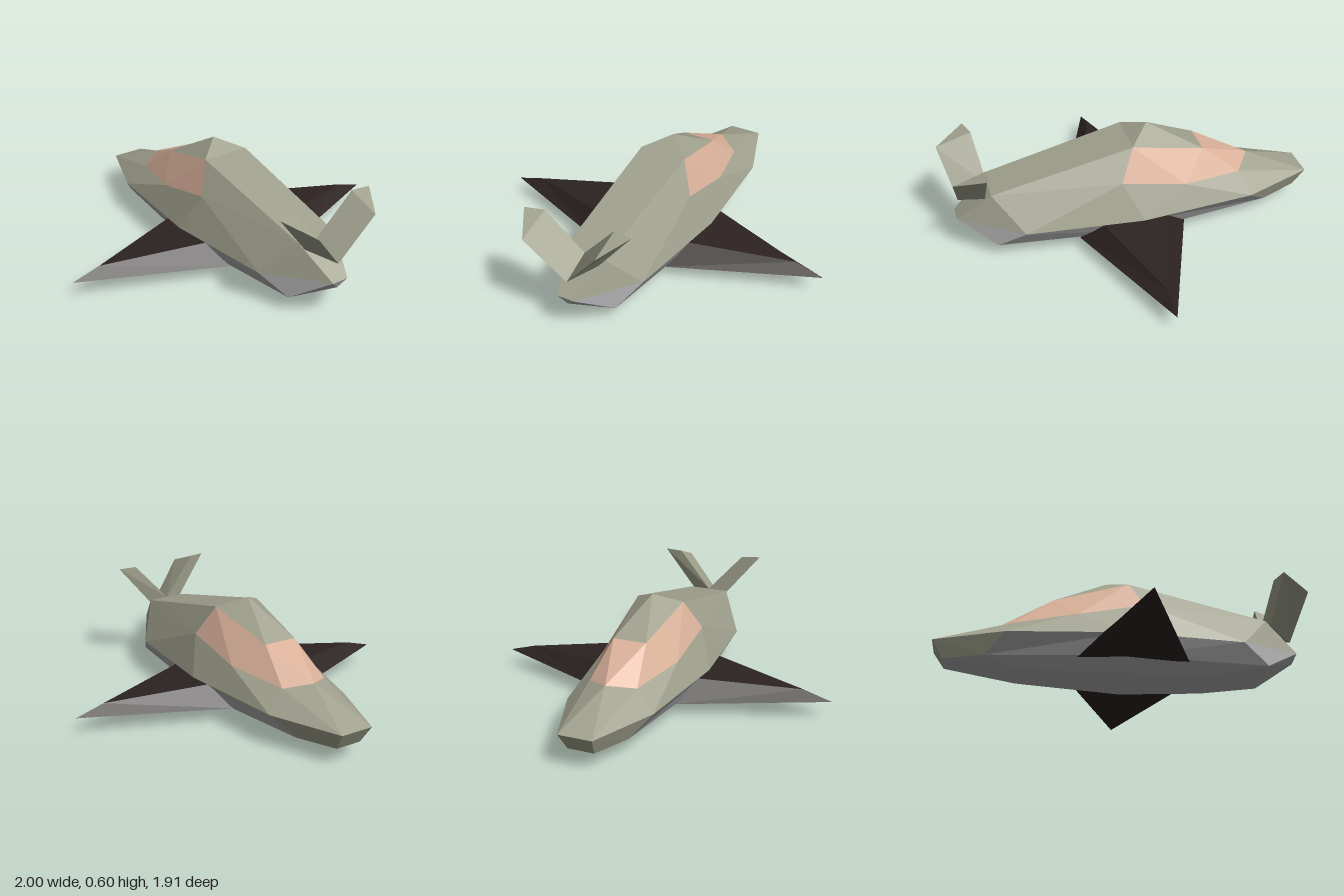
import * as THREE from 'three';

const paint = (name, color) => {
  const m = new THREE.MeshStandardMaterial({ color });
  m.name = name;
  return m;
};

// Flat-faced mesh from named corners; every face is turned away from a reference point.
// With mirror set, each face is repeated across the z = 0 plane.
function facets(name, corners, faces, material, inside, mirror) {
  const pos = [];
  const addFace = (pts) => {
    const mid = pts.reduce((s, p) => s.add(p), new THREE.Vector3()).divideScalar(pts.length);
    const out = mid.clone().sub(inside(mid));
    for (let i = 1; i < pts.length - 1; i++) {
      let [a, b, c] = [pts[0], pts[i], pts[i + 1]];
      const n = b.clone().sub(a).cross(c.clone().sub(a));
      if (n.dot(out) < 0) [b, c] = [c, b];
      pos.push(...a.toArray(), ...b.toArray(), ...c.toArray());
    }
  };
  for (const face of faces) {
    const pts = face.split(' ').map((k) => new THREE.Vector3(...corners[k]));
    addFace(pts);
    if (mirror) addFace(pts.map((p) => new THREE.Vector3(p.x, p.y, -p.z)));
  }
  const g = new THREE.BufferGeometry();
  g.setAttribute('position', new THREE.Float32BufferAttribute(pos, 3));
  g.computeVertexNormals();
  const mesh = new THREE.Mesh(g, material);
  mesh.name = name;
  return mesh;
}

// Half of the hull: nose at -x, tail at +x
const hull = {
  // rim
  noseMid: [-1, 0.18, 0], nose: [-1, 0.18, 0.09],
  rim1: [-0.62, 0.18, 0.235], rim2: [0, 0.18, 0.29], rim3: [0.62, 0.18, 0.235],
  tail: [0.95, 0.215, 0.045], tailMid: [0.95, 0.215, 0],
  // canopy and roof
  brow: [-0.67, 0.31, 0], win1: [-0.58, 0.28, 0.13], win2: [-0.25, 0.31, 0.21],
  knee: [0.1, 0.38, 0.21], visor: [-0.38, 0.44, 0.09], visorMid: [-0.38, 0.44, 0],
  peak: [-0.09, 0.6, 0], deck1: [0.02, 0.54, 0.13], deck1Mid: [0.02, 0.54, 0],
  deck2: [0.77, 0.37, 0.11], deck2Mid: [0.77, 0.37, 0],
  // chine, belly and keel
  chin: [-0.94, 0.085, 0.07], chine1: [-0.73, 0.08, 0.15], chine2: [0, 0.075, 0.235],
  chine3: [0.76, 0.085, 0.16], stern: [0.93, 0.17, 0],
  belly1: [-0.56, 0.03, 0.1], belly2: [0, 0.012, 0.15], belly3: [0.44, 0.025, 0.12],
  chinMid: [-0.94, 0.085, 0], keel1: [-0.56, 0.03, 0], keel2: [0, 0, 0],
  keel3: [0.44, 0.022, 0], keel4: [0.76, 0.085, 0],
};

const upperFaces = [
  'noseMid nose brow', 'nose win1 brow', 'nose rim1 win1', 'rim1 win2 win1', 'rim1 rim2 win2',
  'rim2 knee win2', 'rim2 rim3 knee', 'knee rim3 deck2', 'knee deck2 deck1',
  'deck1 deck2 deck2Mid deck1Mid', 'peak deck1 deck1Mid', 'visor deck1 peak', 'visorMid visor peak',
  'deck2 rim3 tail', 'deck2Mid deck2 tail tailMid',
  'noseMid nose chin chinMid', 'nose rim1 chine1 chin',
];
const windowFaces = ['brow win1 visor visorMid', 'win1 win2 visor', 'win2 knee deck1', 'win2 deck1 visor'];
const lowerFaces = [
  'rim1 rim2 chine1', 'rim2 chine2 chine1', 'rim2 rim3 chine2', 'rim3 chine3 chine2',
  'rim3 tail chine3', 'tail stern chine3', 'tail tailMid stern', 'chine3 stern keel4',
  'chin chine1 belly1', 'chin belly1 keel1 chinMid', 'chine1 chine2 belly1', 'chine2 belly2 belly1',
  'chine2 chine3 belly3', 'chine2 belly3 belly2', 'chine3 keel4 keel3 belly3',
  'belly1 belly2 keel2 keel1', 'belly2 belly3 keel3 keel2',
];

// Tapered wing reaching out along z
function wing(side, material) {
  const z = (v) => v * side;
  const c = {
    bf: [-0.25, 0.07, z(0.2)], br: [0.33, 0.07, z(0.2)],
    tr: [0.24, 0.185, z(0.2)], tf: [-0.15, 0.185, z(0.2)],
    ridge: [0.04, 0.14, z(0.8)], tip: [0.04, 0.095, z(0.955)],
  };
  const mid = new THREE.Vector3(0.04, 0.11, z(0.4));
  return facets(side > 0 ? 'wingLeft' : 'wingRight', c,
    ['tf tr ridge', 'bf tf ridge tip', 'br tr ridge tip', 'bf br tip', 'bf br tr tf'],
    material, () => mid, false);
}

// Three-sided tail fin leaning outwards
function fin(side, material) {
  const z = (v) => v * side;
  const back = side > 0 ? 0 : -0.035;
  const c = {
    a: [0.77, 0.37, 0], b: [0.93, 0.3, 0], d: [0.8, 0.35, z(0.1)],
    A: [0.81 + back / 2, 0.58, z(0.19)], B: [0.997 + back, 0.52, z(0.19)], D: [0.84 + back, 0.58, z(0.29)],
  };
  const mid = new THREE.Vector3();
  Object.values(c).forEach((p) => mid.add(new THREE.Vector3(...p)));
  mid.divideScalar(6);
  return facets(side > 0 ? 'tailFinLeft' : 'tailFinRight', c,
    ['a b B A', 'a d D A', 'b d D B', 'A B D', 'a b d'], material, () => mid, false);
}

export function createModel() {
  const olive = paint('olive hull', 0xa0a18d);
  const grey = paint('grey belly', 0xaeaeb0);
  const dark = paint('dark wing', 0x2c2222);
  const peach = paint('peach glass', 0xdab19a);
  const core = (m) => new THREE.Vector3(m.x * 0.8, 0.2, 0);

  const model = new THREE.Group();
  model.name = 'spacecraft';
  model.add(
    facets('upperHull', hull, upperFaces, olive, core, true),
    facets('canopyWindows', hull, windowFaces, peach, core, true),
    facets('lowerHull', hull, lowerFaces, grey, core, true),
  );
  for (const side of [1, -1]) model.add(wing(side, dark), fin(side, olive));
  return model;
}
